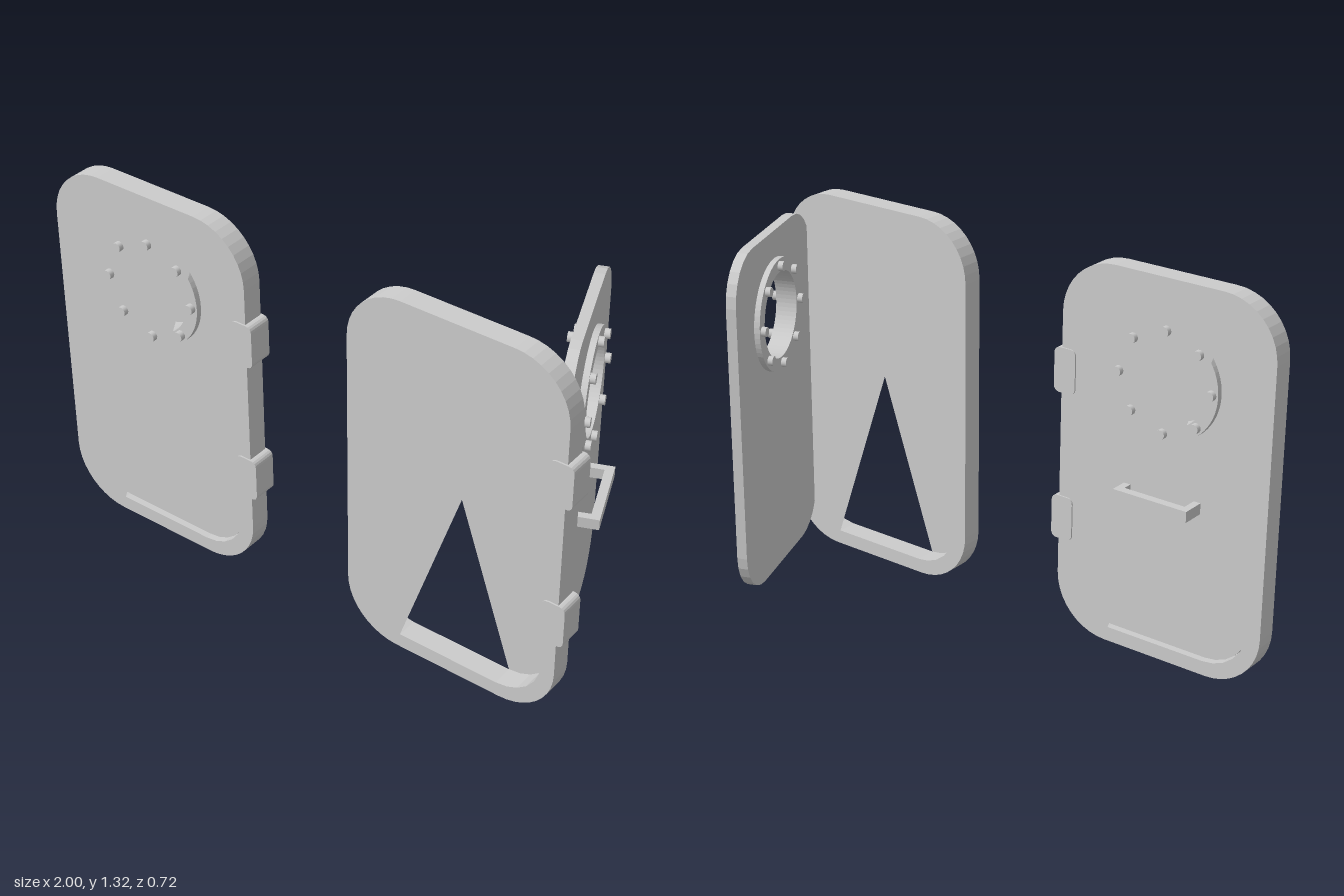
import * as THREE from 'three';

const material = new THREE.MeshStandardMaterial({ color: 0xcccccc, flatShading: true });
const thinMaterial = new THREE.MeshStandardMaterial({ color: 0xcccccc, side: THREE.DoubleSide });
const smoothMaterial = new THREE.MeshStandardMaterial({ color: 0xcccccc });

const MID_Y = 0.658;      // centre height of frame and door
const FRAME_HALF = 0.0375; // half the frame depth
const WINDOW_Y = 0.973 - MID_Y;

// Rounded rectangle outline, counter-clockwise from the lower right corner
function roundedOutline(w, h, r, steps = 6) {
  const points = [];
  [[1, -1], [1, 1], [-1, 1], [-1, -1]].forEach(([sx, sy], corner) => {
    for (let i = 0; i <= steps; i++) {
      const a = (corner - 1 + i / steps) * Math.PI / 2;
      points.push(new THREE.Vector2(
        sx * (w / 2 - r) + r * Math.cos(a),
        sy * (h / 2 - r) + r * Math.sin(a)));
    }
  });
  return points;
}

// Plate of the given depth, centred on z = 0
function plate(shape, depth) {
  return new THREE.ExtrudeGeometry(shape, { depth, bevelEnabled: false, curveSegments: 32 })
    .translate(0, 0, -depth / 2);
}

function addMesh(parent, name, geometry, x = 0, y = 0, z = 0, mat = material) {
  const mesh = new THREE.Mesh(geometry, mat);
  mesh.name = name;
  mesh.position.set(x, y, z);
  parent.add(mesh);
  return mesh;
}

function circlePath(r, y = 0) {
  return new THREE.Path().absarc(0, y, r, 0, Math.PI * 2, true);
}

function createFrame() {
  const frame = new THREE.Group();
  frame.name = 'frame';
  const opening = roundedOutline(0.69, 1.215, 0.16);

  // Rim around the doorway
  const rim = new THREE.Shape(roundedOutline(0.787, 1.316, 0.195, 10));
  rim.holes.push(new THREE.Path(opening));
  addMesh(frame, 'rim', plate(rim, FRAME_HALF * 2));

  // Thin panels cut along a diagonal, mirrored between front and back
  const cut = opening.slice(12);
  for (const side of [1, -1]) {
    const outline = cut.map(p => new THREE.Vector2(p.x * side, p.y));
    addMesh(frame, side > 0 ? 'frontPanel' : 'backPanel',
      new THREE.ShapeGeometry(new THREE.Shape(outline)), 0, 0, side * FRAME_HALF, thinMaterial);
  }

  // Hinge blocks on the left edge
  const hinge = plate(new THREE.Shape(roundedOutline(0.082, 0.155, 0.02, 4)), 0.086);
  for (const y of [0.92, 0.398]) addMesh(frame, 'hinge', hinge, 0.379, y - MID_Y, 0);
  return frame;
}

function createDoor() {
  const door = new THREE.Group();
  door.name = 'door';

  // Leaf with porthole
  const leaf = new THREE.Shape(roundedOutline(0.682, 1.208, 0.157));
  leaf.holes.push(circlePath(0.15, WINDOW_Y));
  addMesh(door, 'leaf', plate(leaf, 0.035));

  // Porthole ring
  const ring = new THREE.Shape().absarc(0, 0, 0.195, 0, Math.PI * 2, false);
  ring.holes.push(circlePath(0.15));
  addMesh(door, 'portholeRing', plate(ring, 0.0745), 0, WINDOW_Y, 0);

  // Bolts running through the ring
  const bolt = new THREE.CylinderGeometry(0.0165, 0.0165, 0.11, 16).rotateX(Math.PI / 2);
  for (let i = 0; i < 8; i++) {
    const a = i * Math.PI / 4;
    addMesh(door, 'bolt', bolt, 0.172 * Math.cos(a), WINDOW_Y + 0.172 * Math.sin(a), 0, smoothMaterial);
  }

  // Pull handle on the back
  const handleY = 0.573 - MID_Y;
  addMesh(door, 'handleBar', new THREE.BoxGeometry(0.278, 0.038, 0.03), 0, handleY, -0.085);
  for (const side of [-1, 1]) {
    addMesh(door, 'handlePost', new THREE.BoxGeometry(0.025, 0.038, 0.055), side * 0.1265, handleY, -0.0435);
  }
  return door;
}

export function createModel() {
  const model = new THREE.Group();
  model.name = 'doorways';

  // Closed doorway
  const closed = new THREE.Group();
  closed.name = 'closedDoorway';
  closed.position.set(-0.606, MID_Y, 0.304);
  closed.add(createFrame(), createDoor());

  // Open doorway, its leaf swung backwards about the hinges
  const open = new THREE.Group();
  open.name = 'openDoorway';
  open.position.set(0.577, MID_Y, 0.304);
  const swung = createDoor();
  swung.rotation.y = -68 * Math.PI / 180;
  swung.position.set(0.204, 0, -0.341);
  open.add(createFrame(), swung);

  model.add(closed, open);
  return model;
}
